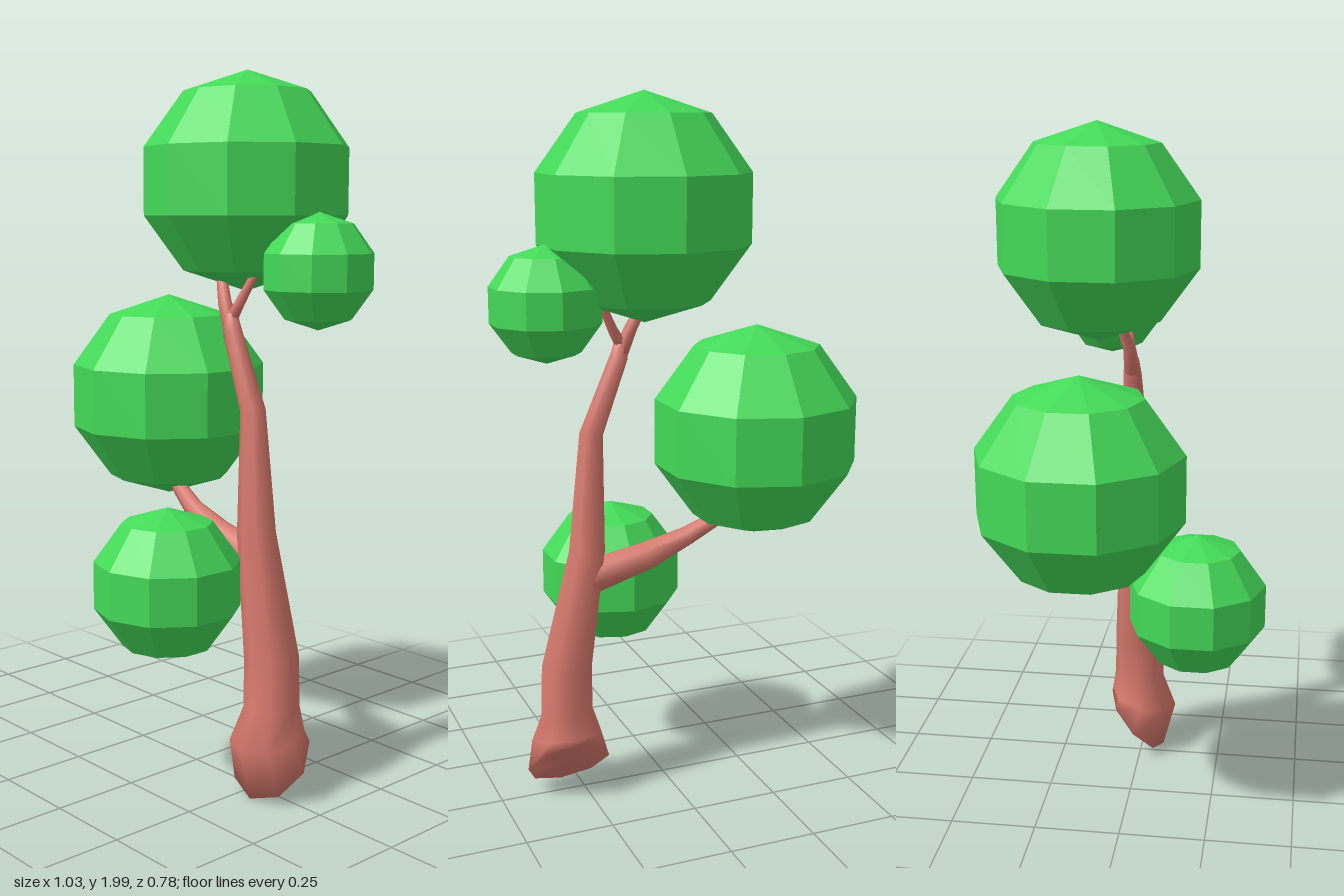
import * as THREE from 'three';

const UP = new THREE.Vector3(0, 1, 0);
const SIDES = 8;

// Smooth tapering limb through rings [x, y, z, radius, tilt?]; tilt leans a ring towards +z
function limbGeometry(rings) {
  const centres = rings.map(([x, y, z]) => new THREE.Vector3(x, y, z));
  const pos = [], index = [];
  rings.forEach(([, , , r, tilt], i) => {
    const axis = tilt === undefined
      ? centres[Math.min(i + 1, rings.length - 1)].clone().sub(centres[Math.max(i - 1, 0)]).normalize()
      : new THREE.Vector3(0, Math.cos(tilt), Math.sin(tilt));
    const q = new THREE.Quaternion().setFromUnitVectors(UP, axis);
    for (let j = 0; j < SIDES; j++) {
      const a = (j / SIDES) * Math.PI * 2;
      const p = new THREE.Vector3(Math.cos(a) * r, 0, Math.sin(a) * r).applyQuaternion(q).add(centres[i]);
      pos.push(p.x, p.y, p.z);
    }
  });
  const n = rings.length, first = n * SIDES, last = first + 1;
  pos.push(...centres[0].toArray(), ...centres[n - 1].toArray());
  for (let j = 0; j < SIDES; j++) {
    const k = (j + 1) % SIDES;
    for (let i = 0; i < n - 1; i++) {
      const a = i * SIDES + j, b = i * SIDES + k;
      index.push(a, a + SIDES, b, b, a + SIDES, b + SIDES);
    }
    // end caps
    const top = (n - 1) * SIDES;
    index.push(first, j, k, last, top + k, top + j);
  }
  const geo = new THREE.BufferGeometry();
  geo.setAttribute('position', new THREE.Float32BufferAttribute(pos, 3));
  geo.setIndex(index);
  geo.computeVertexNormals();
  return geo;
}

export function createModel() {
  const tree = new THREE.Group();
  tree.name = 'tree';

  const bark = new THREE.MeshStandardMaterial({ color: 0xd6786c });
  bark.name = 'bark';
  const leaves = new THREE.MeshStandardMaterial({ color: 0x44da58, flatShading: true });
  leaves.name = 'leaves';

  const limbs = {
    // slanted foot, swollen base, then a leaning taper
    trunk: [
      [0.3, 0.1, -0.015, 0.124, 0.82],
      [0.3, 0.18, 0.005, 0.105, 0.24],
      [0.302, 0.26, -0.01, 0.078, 0.05],
      [0.3, 0.4, -0.01, 0.076],
      [0.235, 0.74, -0.012, 0.054],
      [0.218, 1.08, -0.012, 0.035],
      [0.135, 1.29, -0.012, 0.027],
      [0.125, 1.34, -0.012, 0.02],
    ],
    sideBranch: [
      [0.24, 0.66, -0.015, 0.052],
      [0.06, 0.71, -0.025, 0.042],
      [-0.06, 0.76, -0.04, 0.028],
      [-0.2, 0.84, -0.07, 0.018],
    ],
    leftTwig: [
      [0.135, 1.29, -0.012, 0.024],
      [0.1, 1.37, -0.015, 0.019],
      [0.055, 1.47, -0.04, 0.013],
    ],
    rightTwig: [
      [0.12, 1.31, -0.012, 0.018],
      [0.155, 1.37, -0.02, 0.014],
      [0.21, 1.48, -0.045, 0.01],
    ],
  };
  for (const [name, rings] of Object.entries(limbs)) {
    const mesh = new THREE.Mesh(limbGeometry(rings), bark);
    mesh.name = name;
    tree.add(mesh);
  }

  // Faceted balls of foliage, each with a corner facing front and back
  const ball = new THREE.SphereGeometry(1, 10, 5).rotateY(Math.PI / 10);
  const foliage = {
    crownFoliage: [0.093, 1.7, -0.104, 0.302],
    middleFoliage: [-0.243, 1.072, -0.104, 0.302],
    lowerFoliage: [0.093, 0.605, 0.19, 0.214],
    smallFoliage: [0.37, 1.46, -0.105, 0.156],
  };
  for (const [name, [x, y, z, r]] of Object.entries(foliage)) {
    const mesh = new THREE.Mesh(ball, leaves);
    mesh.name = name;
    mesh.position.set(x, y, z);
    mesh.scale.setScalar(r);
    tree.add(mesh);
  }
  return tree;
}
